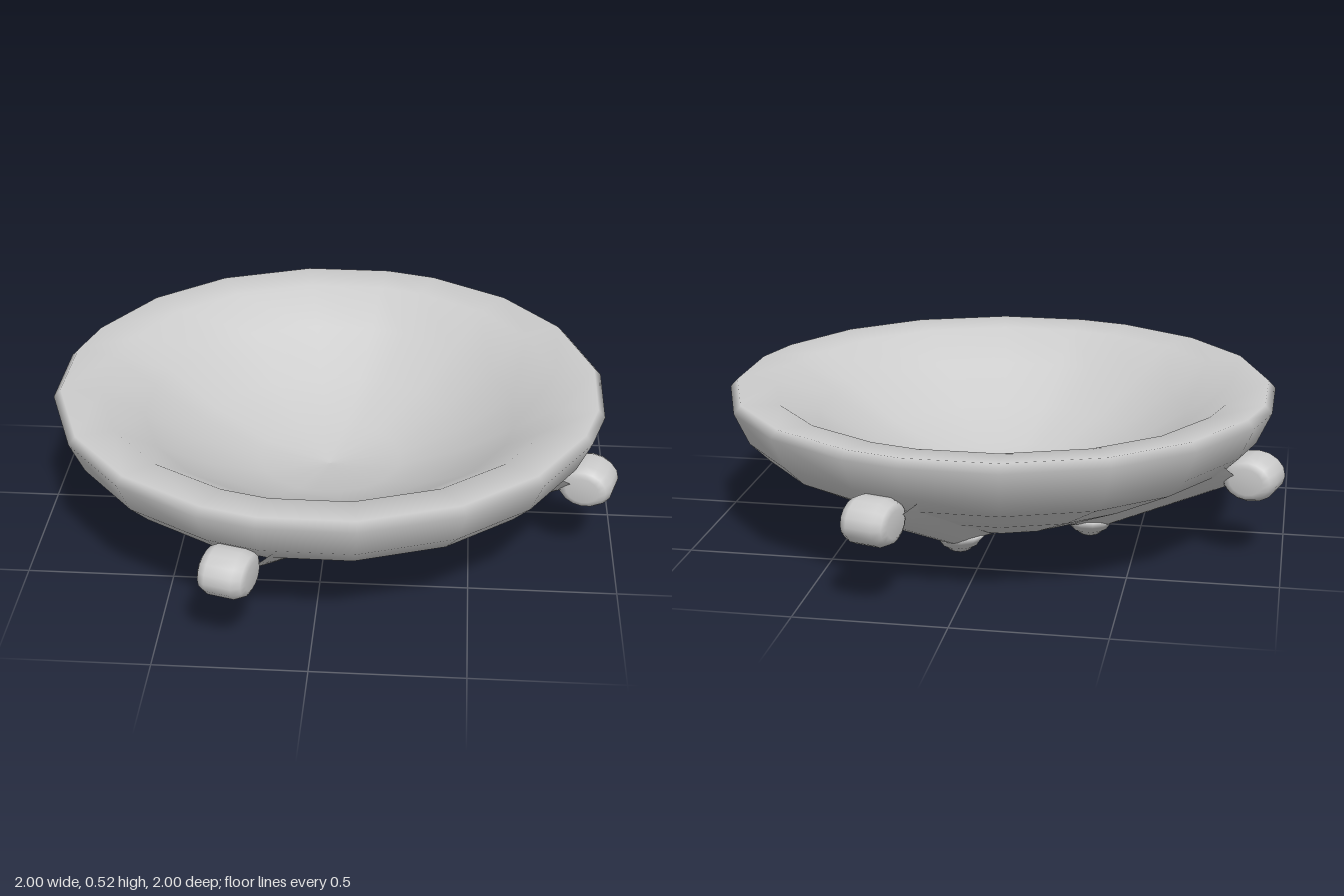
import * as THREE from 'three';

const DEG = Math.PI / 180;
const material = () => new THREE.MeshStandardMaterial({ color: 0xcccccc });

// Bowl cross-section [radius, height]: underside, wall, broad lip, shallow hollow
const PROFILE = [
  [0, 0.067], [0.34, 0.067], [0.6, 0.185], [0.84, 0.31], [0.91, 0.38], [0.96, 0.49],
  [0.935, 0.517], [0.8, 0.505], [0.65, 0.405], [0.46, 0.29], [0.25, 0.205], [0, 0.175],
];
// Corners of the rim in one quarter turn (uneven, with a short side at each strut)
const QUARTER = [9, 30, 49, 68.5, 80];

function bowlGeometry() {
  const angles = [];
  for (let q = 0; q < 4; q++) for (const a of QUARTER) angles.push((a + q * 90) * DEG);
  const n = angles.length, m = PROFILE.length;
  const pos = [], index = [];
  for (const a of angles) {
    for (const [r, y] of PROFILE) pos.push(r * Math.cos(a), y, -r * Math.sin(a));
  }
  for (let s = 0; s < n; s++) {
    const p = s * m, q = ((s + 1) % n) * m;
    for (let i = 0; i < m - 1; i++) {
      // The rings at both ends shrink to a point and need one triangle only
      if (i > 0) index.push(p + i, q + i, p + i + 1);
      if (i < m - 2) index.push(q + i, q + i + 1, p + i + 1);
    }
  }
  const g = new THREE.BufferGeometry();
  g.setAttribute('position', new THREE.Float32BufferAttribute(pos, 3));
  g.setIndex(index);
  g.computeVertexNormals();
  return g;
}

// Soft swelling that runs up the wall: a sheet bent to a bell-shaped cross-section
function ridgeGeometry() {
  const start = new THREE.Vector3(0.3, 0.055, 0), end = new THREE.Vector3(0.88, 0.335, 0);
  const length = start.distanceTo(end);
  const along = end.clone().sub(start).normalize();
  const out = new THREE.Vector3(along.y, -along.x, 0);
  const g = new THREE.PlaneGeometry(2, 1, 14, 14);
  const p = g.attributes.position, v = new THREE.Vector3();
  for (let i = 0; i < p.count; i++) {
    const w = p.getX(i), t = p.getY(i) + 0.5;
    const bell = Math.cos(w * Math.PI / 2) ** 1.2;
    // Low at the foot; the edges sink into the wall towards the top
    const sink = 0.04 * t ** 4;
    const height = 0.06 * THREE.MathUtils.smoothstep(t, -0.04, 0.12) + sink;
    v.copy(start).addScaledVector(along, t * length).addScaledVector(out, bell * height - sink);
    p.setXYZ(i, v.x, v.y, -w * (0.12 + 0.03 * t));
  }
  g.computeVertexNormals();
  return g;
}

function lathe(points, segments) {
  return new THREE.LatheGeometry(points.map(([r, y]) => new THREE.Vector2(r, y)), segments);
}

function part(name, geometry) {
  const mesh = new THREE.Mesh(geometry, material());
  mesh.name = name;
  return mesh;
}

// One strut along +x: foot under the base, ridge up the wall, knob below the rim
function createStrut() {
  const strut = new THREE.Group();

  const foot = part('foot', lathe(
    [[0, 0], [0.035, 0], [0.048, 0.012], [0.064, 0.022], [0.076, 0.04], [0.105, 0.072], [0, 0.085]], 12));
  foot.position.x = 0.34;
  strut.add(foot);

  strut.add(part('ridge', ridgeGeometry()));

  // Round bar lying along the rim, stretched outward
  const knob = part('knob', lathe(
    [[0, -0.082], [0.045, -0.082], [0.064, -0.072], [0.077, -0.045],
      [0.077, 0.045], [0.064, 0.072], [0.045, 0.082], [0, 0.082]], 16));
  knob.rotation.x = Math.PI / 2;
  knob.scale.x = 1.25;
  knob.position.set(0.93, 0.298, 0);
  strut.add(knob);
  return strut;
}

export function createModel() {
  const model = new THREE.Group();
  model.name = 'footedBowl';
  model.add(part('bowl', bowlGeometry()));
  for (let i = 0; i < 4; i++) {
    const strut = createStrut();
    strut.name = 'strut' + (i + 1);
    strut.rotation.y = (74 + i * 90) * DEG;
    model.add(strut);
  }
  return model;
}
